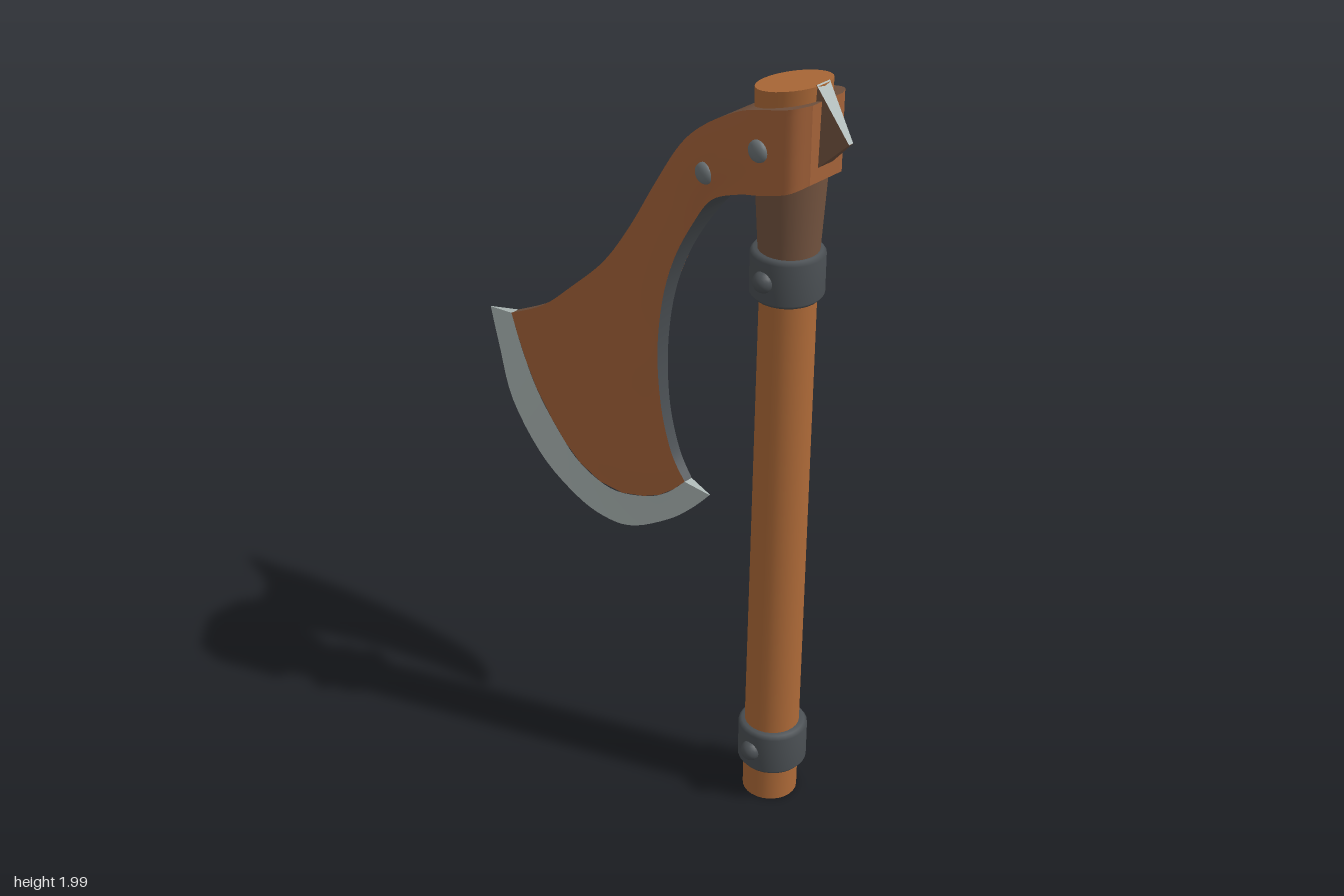
import * as THREE from 'three';

const mat = (name, color) => Object.assign(new THREE.MeshStandardMaterial({ color }), { name });
const wood = mat('wood', 0xae6a38);
const bladeBrown = mat('bladeBrown', 0xa5633a);
const leather = mat('leather', 0x73533f);
const iron = mat('iron', 0x4b5054);
const rivetGrey = mat('rivetGrey', 0x6a7174);
const steel = mat('steel', 0xafbab8);

const spline = (pts) => new THREE.SplineCurve(pts.map(([x, y]) => new THREE.Vector2(x, y)));

// Upper and lower outlines from head to bit, with matching half thickness
const upper = spline([[.53, 1.965], [.5, 1.958], [.43, 1.94], [.35, 1.91], [.22, 1.83], [.125, 1.745],
  [.035, 1.615], [-.055, 1.47], [-.15, 1.34], [-.27, 1.225], [-.38, 1.13], [-.505, 1.06]]);
const lower = spline([[.53, 1.775], [.5, 1.757], [.43, 1.735], [.355, 1.71], [.245, 1.65], [.17, 1.56],
  [.1, 1.44], [.055, 1.31], [.035, 1.155], [.045, 1.0], [.08, .88], [.125, .812]]);
const thickness = spline([.05, .09, .1, .09, .058, .038, .028, .022, .019, .016, .015, .013].map((h, i) => [i, h]));

// Inner line of the bevel and the sharp outer edge
const bevel = spline([[-.505, 1.06], [-.47, .97], [-.415, .865], [-.335, .77], [-.255, .705],
  [-.14, .675], [-.02, .705], [.06, .75], [.125, .812]]);
const edge = spline([[-.6, 1.04], [-.57, .93], [-.525, .785], [-.415, .655], [-.285, .585],
  [-.175, .565], [-.07, .585], [.06, .665], [.14, .735], [.2, .8]]);

const half = (u) => thickness.getPoint(u).y;

// Point on the blade side: loft between outlines, bulging into the bevel curve
function sidePoint(u, v) {
  const p = upper.getPoint(u).lerp(lower.getPoint(u), v);
  const chord = upper.getPoint(1).lerp(lower.getPoint(1), v);
  return p.addScaledVector(bevel.getPoint(v).sub(chord), u * u);
}

// Surface from fn(u, v) -> [x, y, z]; its front faces du x dv unless flipped
function grid(fn, nu, nv, flip = false) {
  const pos = [], index = [];
  for (let i = 0; i <= nu; i++) for (let j = 0; j <= nv; j++) pos.push(...fn(i / nu, j / nv));
  for (let i = 0; i < nu; i++) for (let j = 0; j < nv; j++) {
    const a = i * (nv + 1) + j, b = a + nv + 1;
    if (flip) index.push(a, b + 1, b, a, a + 1, b + 1);
    else index.push(a, b, b + 1, a, b + 1, a + 1);
  }
  const g = new THREE.BufferGeometry();
  g.setAttribute('position', new THREE.Float32BufferAttribute(pos, 3));
  g.setIndex(index);
  g.computeVertexNormals();
  return g;
}

export function createModel() {
  const root = new THREE.Group();
  root.name = 'axe';
  const add = (name, geometry, material, x = 0, y = 0, z = 0) => {
    const m = new THREE.Mesh(geometry, material);
    m.name = name;
    m.position.set(x, y, z);
    root.add(m);
    return m;
  };

  // Handle, leather wrap and the tilted top of the shaft
  const shaft = add('shaft', new THREE.CylinderGeometry(.067, .07, 1.6, 28), wood, .431, .812, 0);
  shaft.rotation.z = -.006;
  add('leatherWrap', new THREE.CylinderGeometry(.086, .07, .27, 28), leather, .433, 1.675, 0);
  const top = new THREE.CylinderGeometry(.087, .084, .2, 28);
  const tp = top.attributes.position;
  for (let i = 0; i < tp.count; i++) if (tp.getY(i) > 0) tp.setY(i, .1 + tp.getX(i) * .2);
  top.computeVertexNormals();
  add('shaftTop', top, wood, .433, 1.88, 0);

  // Iron bands with a stud front and back
  const bandProfile = [[.062, -.06], [.08, -.06], [.088, -.05], [.088, .05], [.08, .06], [.062, .06]]
    .map(([x, y]) => new THREE.Vector2(x, y));
  const stud = new THREE.SphereGeometry(.027, 16, 10);
  for (const y of [1.515, .167]) {
    add('band', new THREE.LatheGeometry(bandProfile, 28), iron, .431, y, 0);
    for (const s of [1, -1]) add('bandStud', stud, iron, .431, y, s * .082);
  }

  // Blade sides, bevels and head rivets, mirrored front to back
  for (const s of [1, -1]) {
    add('bladeSide', grid((u, v) => {
      const p = sidePoint(u, v);
      return [p.x, p.y, s * half(u)];
    }, 66, 12, s < 0), bladeBrown);
    add('cuttingBevel', grid((u, v) => {
      const p = bevel.getPoint(v).lerp(edge.getPoint(v), u);
      return [p.x, p.y, s * (.013 - .012 * u)];
    }, 3, 40, s < 0), steel);
    for (const [x, y, z] of [[.42, 1.84, .1], [.222, 1.71, .058]]) {
      add('headRivet', stud, rivetGrey, x, y, s * z).scale.z = .6;
    }
  }

  // Narrow rims along the outlines
  const rim = (curve) => (u, v) => {
    const p = curve.getPoint(u);
    return [p.x, p.y, half(u) * (2 * v - 1)];
  };
  add('upperRim', grid(rim(upper), 66, 1), leather);
  add('innerRim', grid(rim(lower), 66, 1, true), iron);
  add('headEnd', grid((u, v) => [.53, 1.775 + .19 * u, .05 * (2 * v - 1)], 1, 1), bladeBrown);

  // Small closing faces at the two horns of the bit
  [0, 1].forEach((t) => add('hornCap', grid((u, v) => {
    const p = bevel.getPoint(t).lerp(edge.getPoint(t), u);
    return [p.x, p.y, (.013 - .012 * u) * (2 * v - 1)];
  }, 1, 1, t === 1), steel));

  // Back spike: steel top, darker flanks and underside
  const ridge = [.515, 2.0, .022], tip = [.6, 1.88, .007], heel = [.51, 1.79, .03];
  const strip = (a, b) => grid((u, v) => {
    const p = a.map((n, k) => n + (b[k] - n) * u);
    return [p[0], p[1], p[2] * (2 * v - 1)];
  }, 1, 1, true);
  add('spikeTop', strip(ridge, tip), steel);
  add('spikeUnderside', strip(tip, heel), leather);
  for (const s of [1, -1]) {
    const c = [ridge, heel, tip].map(([x, y, z]) => [x, y, s * z]);
    const g = new THREE.BufferGeometry();
    g.setAttribute('position', new THREE.Float32BufferAttribute((s > 0 ? c : c.reverse()).flat(), 3));
    g.computeVertexNormals();
    add('spikeFlank', g, leather);
  }
  return root;
}
